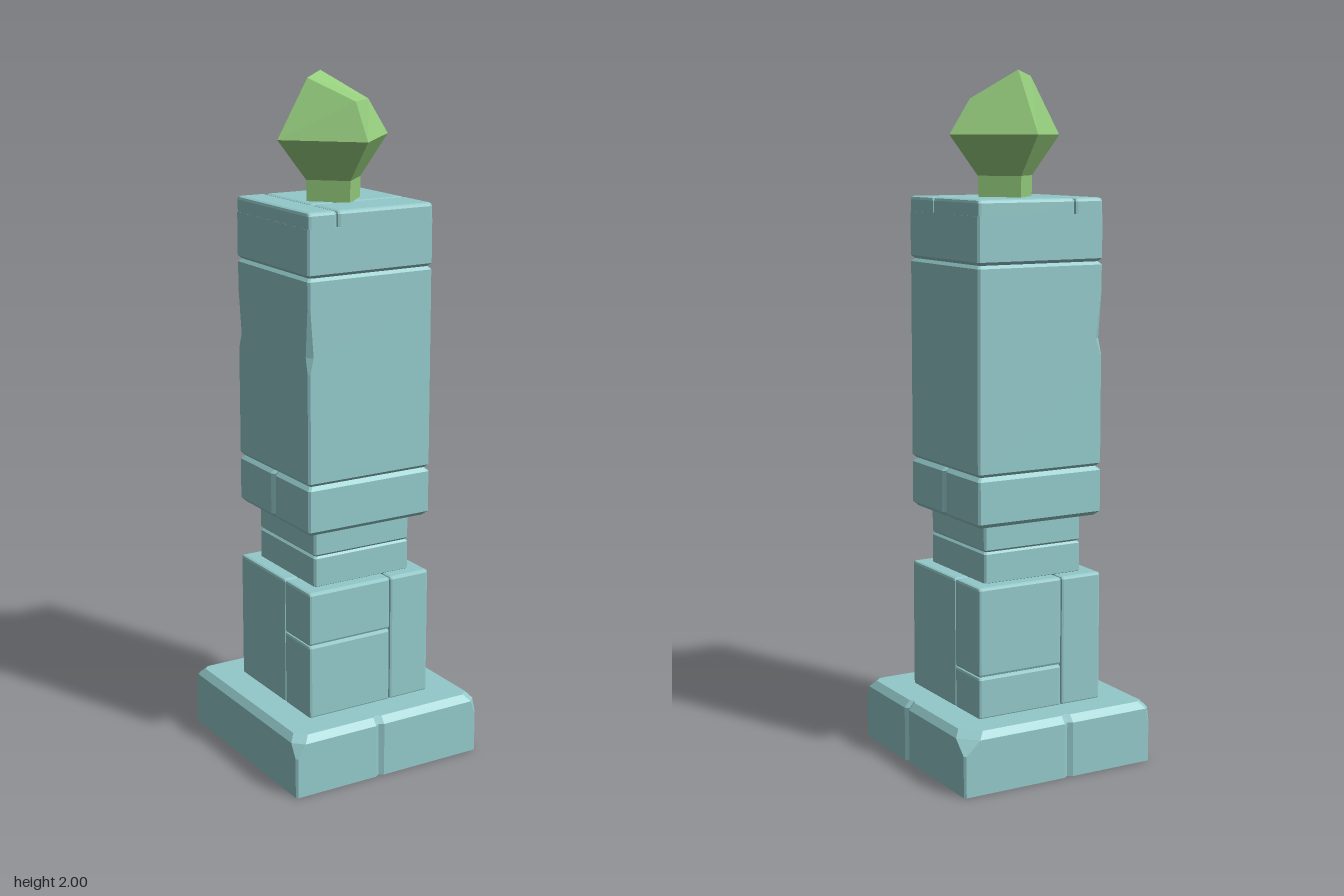
import * as THREE from 'three';
import { RoundedBoxGeometry } from 'three/addons/geometries/RoundedBoxGeometry.js';

const stone = new THREE.MeshStandardMaterial({ color: 0x93c9ca, flatShading: true });
const crystal = new THREE.MeshStandardMaterial({ color: 0x94cc7c, flatShading: true });

// Joins rings of [x, y, z] points, listed counter-clockwise from above, into flat faces
function loft(rings) {
  const pos = [];
  for (let r = 0; r < rings.length - 1; r++) {
    const a = rings[r], b = rings[r + 1], n = a.length;
    for (let i = 0; i < n; i++) {
      const j = (i + 1) % n;
      pos.push(...a[i], ...a[j], ...b[j], ...a[i], ...b[j], ...b[i]);
    }
  }
  const geo = new THREE.BufferGeometry();
  geo.setAttribute('position', new THREE.Float32BufferAttribute(pos, 3));
  geo.computeVertexNormals();
  return geo;
}

// Square ring with chamfered corners and V notches.
// Sides run +x, -z, -x, +z; corner k lies between side k and k + 1.
function squareRing(y, half, chips, notches) {
  const pts = [];
  for (let k = 0; k < 4; k++) {
    const c = Math.round(Math.cos(k * Math.PI / 2)), s = Math.round(Math.sin(k * Math.PI / 2));
    const add = (d, t) => pts.push(half === 0 ? [0, y, 0] : [d * c - t * s, y, -d * s - t * c]);
    add(half, -half + chips[(k + 3) % 4]);
    for (const [side, at, depth] of notches) {
      if (side !== k) continue;
      add(half, at - 0.014);
      add(half - depth, at);
      add(half, at + 0.014);
    }
    add(half, half - chips[k]);
  }
  return pts;
}

// Sections are [y, half width, optional corner chips]
function block(sections, notches = []) {
  return loft(sections.map(([y, h, chips = [0.006, 0.006, 0.006, 0.006]]) => squareRing(y, h, chips, notches)));
}

// Bevelled square block closed at both ends
function bevelled(y0, y1, half, bevel, notches = [], middle = []) {
  return block([[y0, 0], [y0, half - bevel], [y0 + bevel, half], ...middle,
    [y1 - bevel, half], [y1, half - bevel], [y1, 0]], notches);
}

// Bevelled box given by its limits
function slab(x0, x1, y0, y1, z0, z1, bevel = 0.008) {
  return new RoundedBoxGeometry(x1 - x0, y1 - y0, z1 - z0, 1, bevel)
    .translate((x0 + x1) / 2, (y0 + y1) / 2, (z0 + z1) / 2);
}

export function createModel() {
  const model = new THREE.Group();
  const add = (name, geo, mat = stone, parent = model) => {
    const mesh = new THREE.Mesh(geo, mat);
    mesh.name = name;
    parent.add(mesh);
  };
  const group = (name) => {
    const g = new THREE.Group();
    g.name = name;
    model.add(g);
    return g;
  };

  // Plinth, hollow underneath, with a chipped back corner
  const worn = [0.05, 0.015, 0.03, 0.02];
  add('plinth', block([
    [0.175, 0], [0.175, 0.2], [0, 0.2], [0, 0.31],
    [0.12, 0.31], [0.16, 0.31, worn], [0.18, 0.293, worn], [0.18, 0],
  ], [[0, -0.04, 0.009], [1, 0.03, 0.009], [3, -0.03, 0.009]]));

  // Pedestal: four stones laid as a pinwheel, two of them split across
  const pedestal = group('pedestal');
  const y0 = 0.175, y1 = 0.56;
  add('frontLeftStone', slab(0.07, 0.203, y0, y1, -0.06, 0.203), stone, pedestal);
  add('backRightStone', slab(-0.203, -0.07, y0, y1, -0.203, 0.06), stone, pedestal);
  for (const [name, x0, x1, z0, z1, split] of [
    ['frontRight', -0.203, 0.07, 0.06, 0.203, 0.4],
    ['backLeft', -0.07, 0.203, -0.203, -0.06, 0.3],
  ]) {
    add(name + 'LowerStone', slab(x0, x1, y0, split, z0, z1), stone, pedestal);
    add(name + 'UpperStone', slab(x0, x1, split, y1, z0, z1), stone, pedestal);
  }
  add('pedestalCore', slab(-0.1, 0.1, y0, 0.555, -0.1, 0.1), stone, pedestal);

  // Narrow neck of two courses
  const neck = group('neck');
  add('lowerCourse', bevelled(0.555, 0.65, 0.16, 0.006), stone, neck);
  add('upperCourse', bevelled(0.65, 0.735, 0.16, 0.006), stone, neck);

  // Pillar: collar, tall shaft with worn edges, cap
  const pillar = group('pillar');
  add('collar', bevelled(0.73, 0.875, 0.203, 0.012, [[0, 0, 0.008], [2, 0, 0.008]]), stone, pillar);
  const edge = [0.006, 0.006, 0.006, 0.006];
  add('shaft', bevelled(0.875, 1.465, 0.203, 0.009, [], [
    [1.2, 0.203, edge], [1.245, 0.203, [0.006, 0.022, 0.016, 0.006]], [1.38, 0.203, edge],
  ]), stone, pillar);
  add('cap', block([[1.465, 0], [1.465, 0.194], [1.474, 0.2035], [1.6, 0.2035], [1.6, 0]]), stone, pillar);

  // Slabs closing the cap, parted by shallow seams
  for (const [name, x0, x1, z0, z1] of [
    ['rightCapSlab', -0.203, -0.11, -0.203, 0.203],
    ['backCapSlab', -0.11, 0.203, -0.203, 0.06],
    ['frontCapSlab', -0.11, 0.203, 0.06, 0.203],
  ]) add(name, slab(x0, x1, 1.55, 1.645, z0, z1, 0.01), stone, pillar);

  // Four-sided crystal with a slanted top facet
  const diamond = (y, r) => [[r, y, 0], [0, y, -r], [-r, y, 0], [0, y, r]];
  const top = [[0.118, 1.92, -0.005], [0, 2, -0.072], [-0.08, 1.985, -0.008], [0, 1.925, 0.118]];
  add('crystal', loft([
    diamond(1.635, 0), diamond(1.635, 0.088), diamond(1.705, 0.09), diamond(1.82, 0.181),
    top, top.map(() => [0, 1.965, 0]),
  ]), crystal);

  return model;
}
